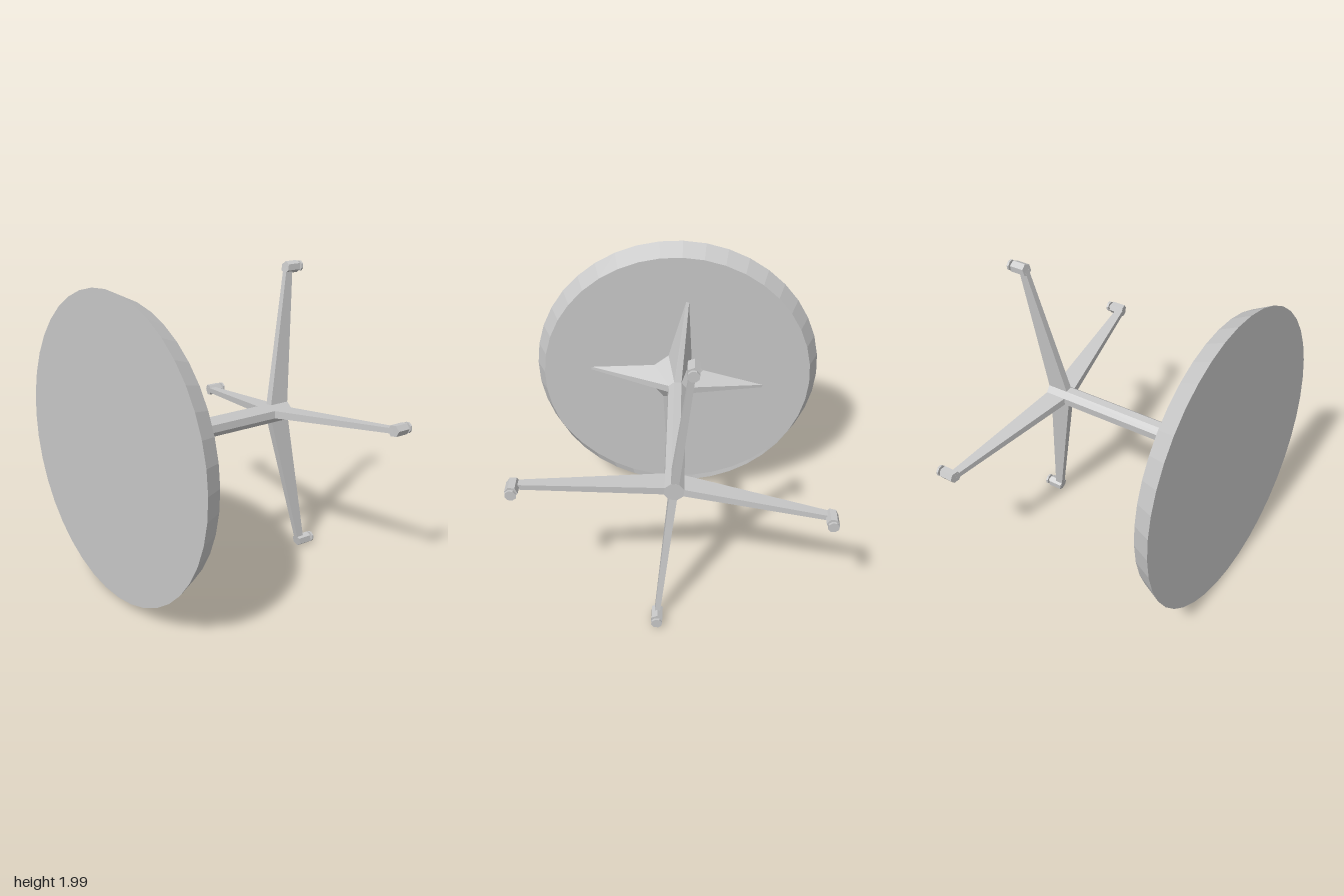
import * as THREE from 'three';

// A round pedestal table lying on its side: the axis runs along x.
export function createModel() {
  const grey = new THREE.MeshStandardMaterial({ color: 0xc8c8c8, flatShading: true, side: THREE.DoubleSide });
  grey.name = 'grey';

  const root = new THREE.Group();
  root.name = 'table';
  const spun = new THREE.Group();
  spun.name = 'tableParts';
  root.add(spun);

  const add = (parent, name, geometry) => {
    const mesh = new THREE.Mesh(geometry, grey);
    mesh.name = name;
    parent.add(mesh);
    return mesh;
  };

  // Prism or cone frustum along x, from x0 to x1
  const barrel = (x0, x1, r0, r1, sides, open = false) =>
    new THREE.CylinderGeometry(r1, r0, x1 - x0, sides, 1, open)
      .rotateY(Math.PI / sides)
      .rotateZ(-Math.PI / 2)
      .translate((x0 + x1) / 2, 0, 0);

  // Table top: bevelled rim, hollow underneath
  const BACK = -0.782, FRONT = -0.657;
  add(spun, 'topRim', barrel(BACK, FRONT, 0.983, 0.923, 40, true));
  add(spun, 'topPanel', new THREE.CircleGeometry(0.983, 40)
    .rotateZ(Math.PI / 2 + Math.PI / 40).rotateY(-Math.PI / 2).translate(BACK, 0, 0));

  // Octagonal column
  add(spun, 'column', barrel(BACK + 0.005, 0.592, 0.065, 0.065, 8));

  // One bracket rib pointing along +y, with the web to its neighbour
  function ribGeometry() {
    const A = [-0.5, 0.06, 0.025], A2 = [-0.5, 0.06, -0.025];
    const T = [FRONT, 0.6, 0.01], T2 = [FRONT, 0.6, -0.01];
    const B = [FRONT, 0.17, 0.08], B2 = [FRONT, 0.17, -0.08];
    const webA = [-0.5, 0.025, 0.06], webB = [FRONT, 0.08, 0.17];
    const triangles = [
      A, A2, T2, A, T2, T,           // ridge
      A, T, B, A2, B2, T2,           // sides
      A, B, webB, A, webB, webA,     // web
    ];
    const g = new THREE.BufferGeometry();
    g.setAttribute('position', new THREE.Float32BufferAttribute(triangles.flat(), 3));
    g.computeVertexNormals();
    return g;
  }

  // Tapered leg pointing along +y
  function legGeometry() {
    const g = new THREE.BoxGeometry(1, 1, 1);
    const p = g.attributes.position;
    for (let i = 0; i < p.count; i++) {
      const tip = p.getY(i) > 0, outer = p.getX(i) > 0;
      const x = tip ? (outer ? 0.692 : 0.642) : (outer ? 0.59 : 0.448);
      p.setXYZ(i, x, tip ? 0.955 : 0.05, Math.sign(p.getZ(i)) * (tip ? 0.017 : 0.025));
    }
    g.computeVertexNormals();
    return g;
  }

  // Hexagonal foot socket with an end slanted like the leg
  function socketGeometry() {
    const g = barrel(0.643, 0.742, 0.04, 0.04, 6);
    const p = g.attributes.position;
    for (let i = 0; i < p.count; i++) {
      if (p.getX(i) < 0.7) p.setX(i, p.getX(i) + p.getY(i) * 0.2);
    }
    g.computeVertexNormals();
    return g;
  }

  const rib = ribGeometry(), leg = legGeometry(), socket = socketGeometry();
  const stem = barrel(0.74, 0.762, 0.018, 0.018, 6);
  const pad = barrel(0.758, 0.772, 0.036, 0.036, 8);

  for (let i = 0; i < 4; i++) {
    const arm = new THREE.Group();
    arm.name = 'arm' + (i + 1);
    arm.rotation.x = i * Math.PI / 2;
    spun.add(arm);
    add(arm, 'topBracket', rib);
    add(arm, 'leg', leg);
    for (const [name, g] of [['footSocket', socket], ['footStem', stem], ['footPad', pad]]) {
      add(arm, name, g).position.y = 0.957;
    }
  }

  // Rolled a little about its axis, resting at a slight tilt
  spun.rotation.x = -0.115;
  root.rotation.z = -0.013;
  root.position.y = 1.004;

  const model = new THREE.Group();
  model.name = 'pedestalTable';
  model.add(root);
  return model;
}
